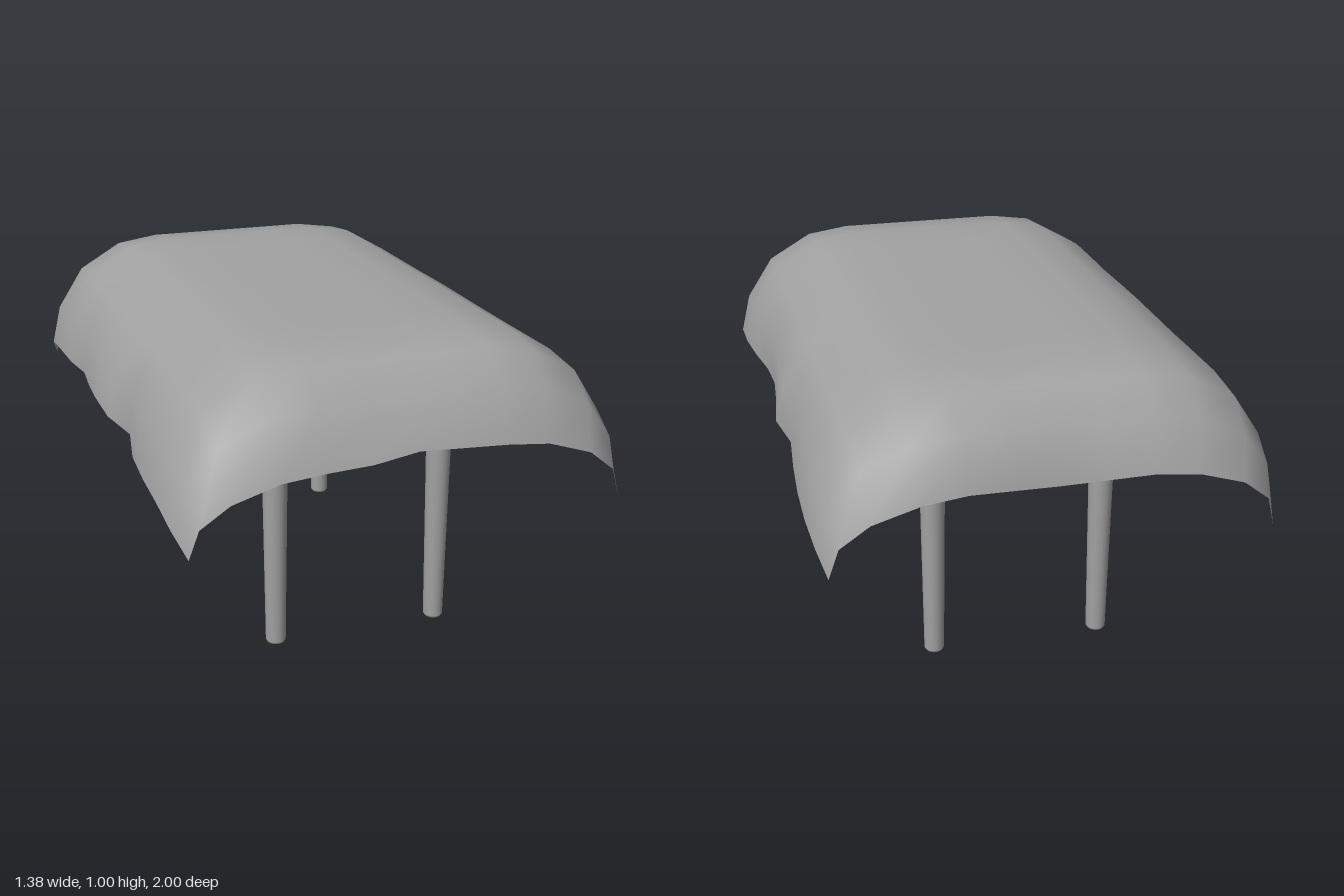
import * as THREE from 'three';

const material = new THREE.MeshStandardMaterial({ color: 0xa2a2a2 });
const clothMaterial = new THREE.MeshStandardMaterial({ color: 0xa2a2a2, side: THREE.DoubleSide });

// Half profiles of the draped cloth: [distance from centre, drop below the top]
const PROFILE_X = [[0, 0], [0.14, 0], [0.28, 0], [0.42, 0.02], [0.565, 0.1], [0.655, 0.225], [0.685, 0.335]];
const PROFILE_Z = [[0, 0], [0.17, 0], [0.33, 0], [0.5, 0], [0.67, 0], [0.83, 0.02], [0.94, 0.1], [1, 0.25]];
// Outward ripple of the two long hems, from back to front
const RIPPLE_LEFT = [0, 0, 0, -0.005, -0.015, -0.03, -0.005, -0.025, -0.04, -0.035, -0.015, 0, 0.003, 0, 0];
const RIPPLE_RIGHT = [0, 0, 0.005, 0, -0.005, -0.02, -0.005, 0.005, 0, -0.035, -0.005, 0.003, 0.005, 0.005, 0];

const mirrored = (half) => [...half.slice(1).reverse().map(([p, d]) => [-p, d]), ...half];

// Cloth: a grid that drops along both profiles, with pinched corners and rippled hems
function drapedCloth() {
  const xs = mirrored(PROFILE_X), zs = mirrored(PROFILE_Z);
  const positions = [], indices = [];
  zs.forEach(([z, dz], j) => xs.forEach(([x, dx], i) => {
    const side = Math.sign(x);
    const hemX = (dx / 0.335) ** 2, hemZ = (dz / 0.25) ** 2;
    const ripple = (side > 0 ? RIPPLE_LEFT : RIPPLE_RIGHT)[j];
    const px = x * (1 - 0.22 * dz) + side * ripple * hemX;
    let pz = z * (1 - (z < 0 ? 0.13 : 0.08) * dx - (Math.abs(z) < 0.98 ? 0.06 * dx : 0));
    if (z < 0) pz += 0.03 * hemZ * Math.max(0, 1 - Math.abs(x) / 0.42);
    let py = 1.005 - (dx + dz - 1.33 * dx * dz);
    // the hems lift or sag a little at mid length
    py += hemZ * Math.max(0, 1 - Math.abs(x) / 0.3) * (z > 0 ? 0.015 : -0.014);
    py -= hemZ * (z > 0 && x < -0.1 ? 0.015 : 0) * (1 - hemX);
    py -= hemX * (1 - hemZ) * 0.03 * Math.min(1, Math.abs(z) / 0.6);
    py += hemZ * hemX * (1 - hemX) * 0.09;
    positions.push(px, py, pz);
    if (i && j) {
      const n = xs.length, d = j * n + i, c = d - 1, b = d - n, a = b - 1;
      indices.push(a, c, b, b, c, d);
    }
  }));
  const geometry = new THREE.BufferGeometry();
  geometry.setAttribute('position', new THREE.Float32BufferAttribute(positions, 3));
  geometry.setIndex(indices);
  geometry.computeVertexNormals();
  return geometry;
}

export function createModel() {
  const group = new THREE.Group();
  const add = (name, geometry, x, y, z, mat = material) => {
    const mesh = new THREE.Mesh(geometry, mat);
    mesh.name = name;
    mesh.position.set(x, y, z);
    group.add(mesh);
  };

  add('blanket', drapedCloth(), 0, 0, 0, clothMaterial);

  // Table body: two slabs with a narrower core between them
  add('lowerBoard', new THREE.BoxGeometry(1, 0.02, 1.46), 0, 0.78, 0);
  add('core', new THREE.BoxGeometry(0.91, 0.1, 1.33), 0, 0.835, 0);
  add('upperBoard', new THREE.BoxGeometry(1.02, 0.02, 1.53), 0, 0.89, 0);

  // Tapered round legs with softened feet
  const legProfile = [[0, 0], [0.026, 0], [0.031, 0.008], [0.041, 0.775]];
  const legGeometry = new THREE.LatheGeometry(legProfile.map(([r, y]) => new THREE.Vector2(r, y)), 20);
  for (const [xName, x] of [['Left', 0.267], ['Right', -0.265]]) {
    for (const [zName, z] of [['front', 0.54], ['back', -0.54]]) {
      add(`${zName}${xName}Leg`, legGeometry, x, 0, z);
    }
  }
  return group;
}
